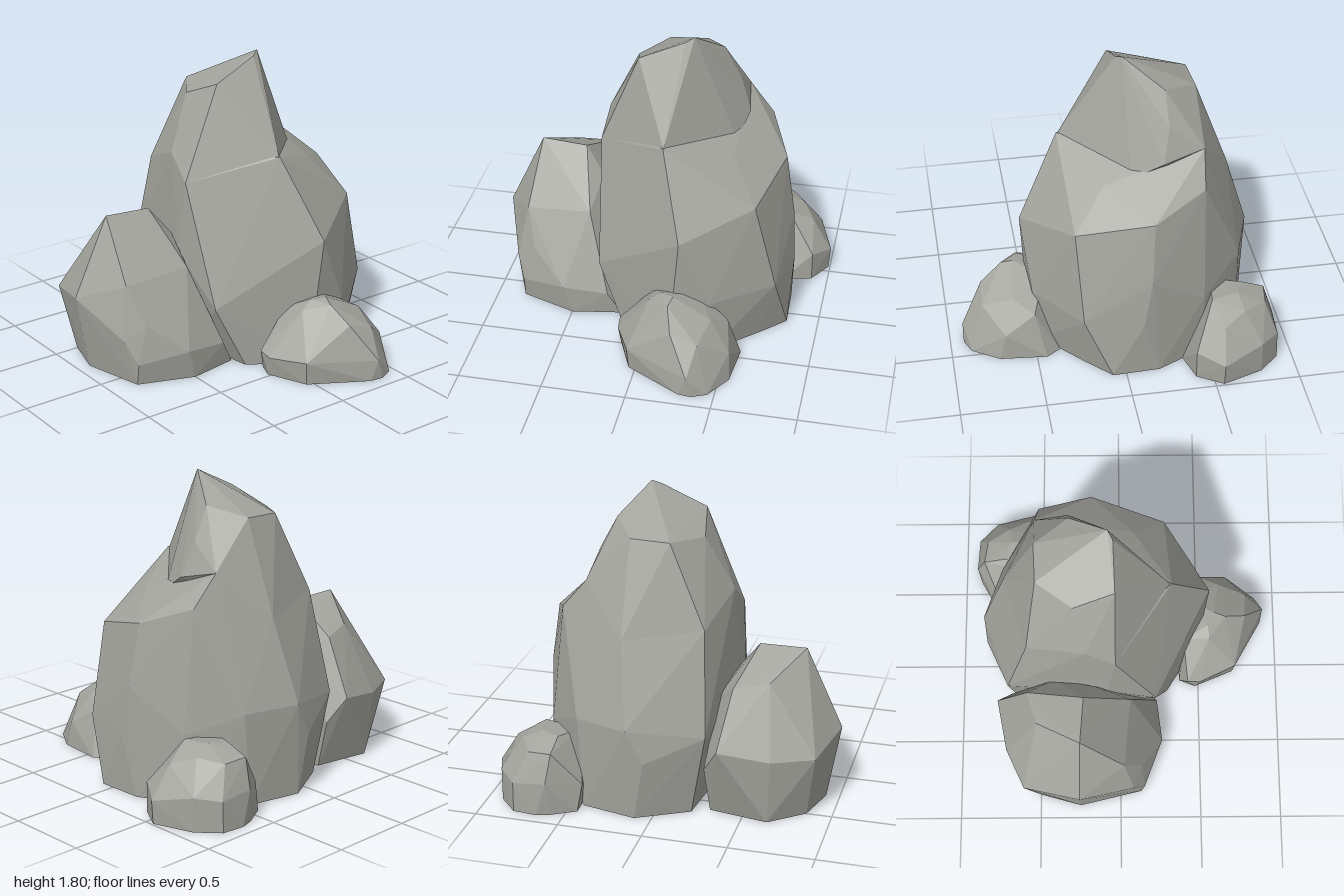
import * as THREE from 'three';
import { ConvexGeometry } from 'three/addons/geometries/ConvexGeometry.js';

// Each rock is a faceted hull around a few corner points [x, y, z].
const mainBody = [
  // base
  [-0.17, 0, 0.3], [0.15, 0, 0.5], [0.4, 0, 0.47], [0.66, 0, 0.23], [0.81, 0, 0.08], [0.8, 0, -0.2],
  [0.66, 0, -0.5], [0.42, 0, -0.74], [0.1, 0, -0.81], [-0.2, 0, -0.65], [-0.25, 0, -0.2],
  // belly
  [-0.33, 0.37, 0.22], [0.4, 0.36, 0.5], [0.75, 0.37, 0.24], [0.82, 0.36, -0.1], [0.69, 0.42, -0.48],
  [0.46, 0.55, -0.73], [0.14, 0.56, -0.84], [0.04, 0.36, -0.83], [-0.29, 0.5, -0.69], [-0.38, 0.65, -0.08],
  // shoulders
  [0.22, 0.78, 0.545], [0.8, 0.65, -0.15], [0.62, 0.91, 0.27], [0.74, 1.02, -0.17], [0.08, 1.26, 0.3],
  [0.46, 1.13, 0.08], [0.61, 1.14, -0.48], [0.46, 1.32, -0.5], [0.2, 1.05, -0.69], [-0.25, 1.1, -0.55],
  [-0.36, 1.1, -0.03], [-0.34, 1.24, -0.2],
];
const mainPeak = [
  [0.19, 1.805, -0.07], [0.14, 1.78, -0.04], [-0.13, 1.66, -0.03], [-0.18, 1.56, -0.27],
  [-0.03, 1.58, -0.48], [0.2, 1.59, -0.49], [0.33, 1.65, -0.29], [0.43, 1.46, -0.3],
  [0.46, 1.32, -0.5], [0.5, 1.26, -0.26], [0.45, 1.15, -0.08], [0.08, 1.26, 0.29],
  [-0.36, 1.1, -0.03], [-0.34, 1.24, -0.2], [-0.25, 1.1, -0.55], [0.2, 1.05, -0.69],
];
const leftRock = [
  [-0.92, 0, -0.25], [-0.83, 0, 0.13], [-0.5, 0, 0.25], [-0.2, 0, 0.2], [-0.3, 0, -0.6],
  [-0.65, 0, -0.66], [-0.85, 0, -0.5],
  [-1, 0.46, -0.25], [-0.91, 0.4, -0.59], [-0.67, 0.4, -0.7], [-0.37, 0.45, -0.755], [-0.28, 0.3, -0.68],
  [-0.88, 0.27, 0.08], [-0.83, 0.13, 0.15], [-0.55, 0.18, 0.26], [-0.28, 0.15, 0.23], [-0.76, 0.36, 0.13],
  [-0.82, 0.58, 0.02], [-0.42, 0.62, 0.06],
  [-0.78, 0.93, -0.24], [-0.5, 0.92, -0.22], [-0.38, 0.76, -0.16], [-0.62, 0.8, -0.5],
  [-0.42, 0.77, -0.56], [-0.3, 0.65, -0.4],
];
const frontRock = [
  [-0.14, 0, 0.48], [-0.04, 0, 0.72], [0.29, 0, 0.91], [0.37, 0, 0.92], [0.46, 0, 0.88], [0.56, 0, 0.72],
  [0.585, 0, 0.44], [0.53, 0, 0.36], [-0.1, 0, 0.38],
  [-0.155, 0.14, 0.43], [-0.15, 0.12, 0.51], [-0.05, 0.14, 0.73], [0.34, 0.12, 0.92], [0.55, 0.16, 0.68],
  [0.51, 0.27, 0.5], [0.05, 0.39, 0.56], [0.12, 0.44, 0.55], [0.2, 0.45, 0.59], [0.18, 0.43, 0.66],
  [0.22, 0.33, 0.79], [0.38, 0.28, 0.8], [0.43, 0.34, 0.62], [0.3, 0.4, 0.42], [0.05, 0.36, 0.4],
];
const backRock = [
  [0.44, 0, -0.82], [0.58, 0, -0.9], [0.66, 0, -0.925], [0.8, 0, -0.91], [0.91, 0, -0.79], [0.99, 0, -0.55],
  [0.9, 0, -0.4], [0.72, 0, -0.35], [0.45, 0, -0.5],
  [0.42, 0.16, -0.78], [0.6, 0.2, -0.915], [0.8, 0.18, -0.905], [0.91, 0.2, -0.79], [1, 0.14, -0.55],
  [0.9, 0.18, -0.4], [0.58, 0.37, -0.86], [0.72, 0.36, -0.84], [0.8, 0.38, -0.7], [0.88, 0.33, -0.57],
  [0.69, 0.43, -0.68], [0.58, 0.42, -0.72], [0.72, 0.42, -0.52], [0.5, 0.4, -0.55],
];

export function createModel() {
  const stone = new THREE.MeshStandardMaterial({ color: 0xa3a49d });
  stone.name = 'grey stone';
  const rock = (name, points) => {
    const mesh = new THREE.Mesh(new ConvexGeometry(points.map((p) => new THREE.Vector3(...p))), stone);
    mesh.name = name;
    return mesh;
  };

  // Tall boulder: a broad body with a steeper peak rising out of its shoulders
  const boulder = new THREE.Group();
  boulder.name = 'tallBoulder';
  boulder.add(rock('boulderBody', mainBody), rock('boulderPeak', mainPeak));

  const model = new THREE.Group();
  model.name = 'rockCluster';
  model.add(
    boulder,
    rock('sideRock', leftRock),
    rock('smallFrontRock', frontRock),
    rock('smallBackRock', backRock),
  );
  return model;
}
